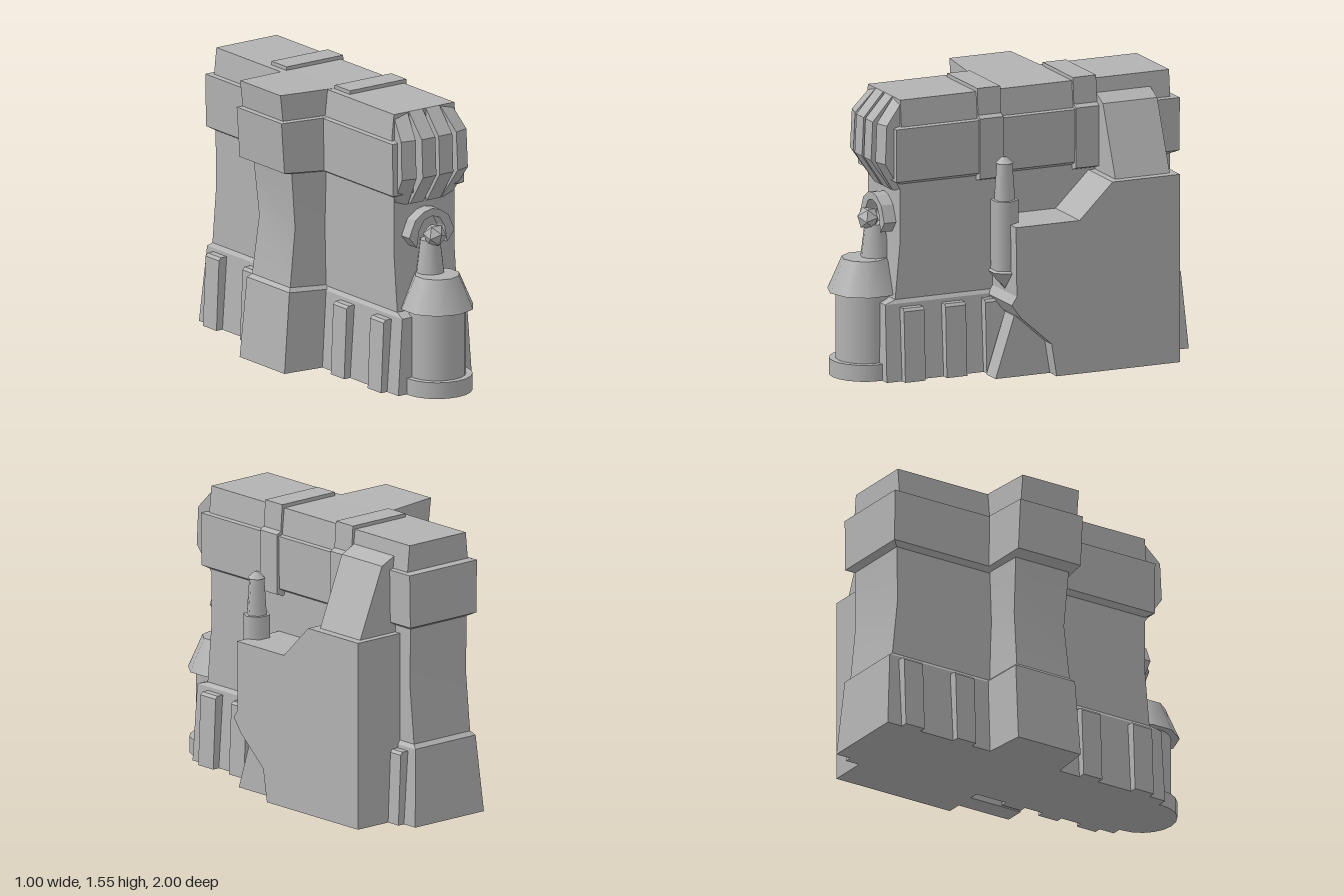
import * as THREE from 'three';
import { toCreasedNormals } from 'three/addons/utils/BufferGeometryUtils.js';

const stone = new THREE.MeshStandardMaterial({ color: 0xb2b2b2 });
stone.name = 'grey stone';

function add(parent, name, geometry, x = 0, y = 0, z = 0) {
  const mesh = new THREE.Mesh(geometry, stone);
  mesh.name = name;
  mesh.position.set(x, y, z);
  parent.add(mesh);
  return mesh;
}

// Stacked four-cornered rings [x, y, z], anticlockwise seen from below, joined and capped
function loft(rings, crease = 0.5) {
  const p = [];
  const quad = (a, b, c, d) => p.push(...a, ...b, ...c, ...a, ...c, ...d);
  for (let i = 0; i < rings.length - 1; i++) {
    const a = rings[i], b = rings[i + 1];
    for (let k = 0; k < 4; k++) {
      const n = (k + 1) % 4;
      quad(a[k], b[k], b[n], a[n]);
    }
  }
  const top = rings[rings.length - 1], bottom = rings[0];
  quad(top[3], top[2], top[1], top[0]);
  quad(bottom[0], bottom[1], bottom[2], bottom[3]);
  const g = new THREE.BufferGeometry();
  g.setAttribute('position', new THREE.Float32BufferAttribute(p, 3));
  return toCreasedNormals(g, crease);
}

function extrude(points, depth) {
  const shape = new THREE.Shape(points.map(([a, b]) => new THREE.Vector2(a, b)));
  return new THREE.ExtrudeGeometry(shape, { depth, bevelEnabled: false });
}
// Side profile given as [z, y], running from x1 down to x0
const sideExtrude = (points, x0, x1) => extrude(points, x1 - x0).rotateY(-Math.PI / 2).translate(x1, 0, 0);
// Front profile given as [x, y], running from z0 to z1
const frontExtrude = (points, z0, z1) => extrude(points, z1 - z0).translate(0, 0, z0);

export function createModel() {
  const model = new THREE.Group();
  model.name = 'fortress';

  // Main hall: flared plinth, waisted wall, overhanging cornice, roof block
  const hall = [
    [0, 0.245, -1, 0.78], [0.42, 0.215, -0.967, 0.775], [0.44, 0.2, -0.94, 0.71],
    [0.76, 0.2, -0.907, 0.68], [1.07, 0.2, -0.912, 0.68], [1.09, 0.235, -0.95, 0.72],
    [1.38, 0.24, -0.95, 0.72], [1.385, 0.215, -0.905, 0.68], [1.53, 0.2, -0.905, 0.68],
  ];
  add(model, 'mainHall', loft(hall.map(([y, w, z0, z1]) =>
    [[-w, y, z0], [-w, y, z1], [w, y, z1], [w, y, z0]].reverse())));

  // Side bay, narrowing away from the hall: height, outer x, extra width, rise at the outer edge
  const bay = [
    [0, -0.48, 0.02, 0], [0.42, -0.44, 0.01, 0.02], [0.44, -0.42, -0.01, 0.02], [0.78, -0.38, -0.02, 0],
    [1.07, -0.41, -0.01, 0.02], [1.08, -0.48, 0.02, 0.03], [1.38, -0.5, 0.02, 0.01],
    [1.385, -0.475, 0, 0.01], [1.53, -0.492, 0, 0.01],
  ];
  add(model, 'sideBay', loft(bay.map(([y, x, g, r]) => {
    const o = 0.18 + g, i = 0.215 + g, c = -0.12;
    return [[x, y + r, c - o], [x, y + r, c + o], [-0.12, y, c + i], [-0.12, y, c - i]].reverse();
  })));

  // Pilasters along the plinth
  const pilaster = (side, z) => add(model, 'pilaster', frontExtrude(
    [[0.19, 0], [0.285, 0], [0.268, 0.385], [0.255, 0.4], [0.19, 0.4]].map(([x, y]) => [x * side, y]),
    z - 0.06, z + 0.06));
  [-0.85, 0.15, 0.385, 0.63].forEach((z) => pilaster(1, z));
  [-0.85, -0.52, 0.29, 0.62].forEach((z) => pilaster(-1, z));

  // Straps folded over the roof and down one side
  const strap = [[-0.16, 1.5], [-0.16, 1.55], [0.215, 1.55], [0.225, 1.405], [0.252, 1.39],
    [0.252, 1.06], [0.21, 1.045], [0.18, 1.06], [0.18, 1.5]];
  for (const z of [0.165, -0.4]) add(model, 'roofStrap', frontExtrude(strap, z - 0.068, z + 0.068));

  // Four bent fins under the front gable, the outer pair turned outwards
  const fin = [[-0.08, 1.02], [0.01, 1.02], [0.125, 1.19], [0.115, 1.4], [0.0, 1.53], [-0.08, 1.53]];
  for (const side of [-1, 1]) {
    add(model, 'innerFin', sideExtrude(fin, -0.045, 0.045), side * 0.056, 0, 0.68);
    const outer = add(model, 'outerFin', sideExtrude(fin, -0.042, 0.042), side * 0.148, 0, 0.665);
    outer.rotation.y = side * 0.24;
  }

  // Statue on its round pedestal
  const statue = new THREE.Group();
  statue.name = 'statue';
  model.add(statue);
  const drum = (name, r1, r0, y0, y1, z, n = 10) =>
    add(statue, name, new THREE.CylinderGeometry(r1, r0, y1 - y0, n), 0, (y0 + y1) / 2, z);
  drum('pedestalFoot', 0.19, 0.19, 0, 0.09, 0.795, 20);
  drum('pedestal', 0.155, 0.155, 0.09, 0.47, 0.795, 20);
  drum('skirt', 0.122, 0.2, 0.46, 0.64, 0.797);
  drum('torso', 0.055, 0.078, 0.63, 0.82, 0.735);
  const head = add(statue, 'head', new THREE.IcosahedronGeometry(0.064, 0), 0, 0.85, 0.775);
  head.rotation.x = 0.3;
  const half = [[0.15, 0.85], [0.11, 0.94], [0.05, 0.98]], inner = [[0.05, 0.935], [0.085, 0.88], [0.1, 0.79]];
  const flip = (pts) => pts.map(([x, y]) => [-x, y]).reverse();
  add(statue, 'hood', frontExtrude(
    [...half, [0, 0.99], ...flip(half), ...flip(inner), [0, 0.95], ...inner], 0.67, 0.75));

  // Stepped side tower overhanging a slanted strut
  add(model, 'sideTower', sideExtrude([
    [-0.1, 0], [-0.07, 0.18], [0.11, 0.34], [0.165, 0.415], [0.135, 0.46], [0.14, 0.84],
    [-0.235, 0.84], [-0.43, 1.03], [-0.828, 1.03], [-0.828, 0],
  ], 0.19, 0.5));
  add(model, 'towerStrut', sideExtrude([[0.22, 0], [0.11, 0.335], [-0.09, 0.335], [-0.12, 0]], 0.3, 0.415));
  add(model, 'towerShoulder', frontExtrude(
    [[0.18, 1.0], [0.46, 1.0], [0.45, 1.03], [0.295, 1.41], [0.2, 1.455], [0.18, 1.455]], -0.79, -0.47));

  // Six-sided turret hanging at the tower's front edge
  const turret = new THREE.Group();
  turret.name = 'turret';
  turret.position.set(0.358, 0, 0.14);
  model.add(turret);
  const sections = [
    ['turretPoint', 0.09, 0, 0.475, 0.575], ['turretCollar', 0.075, 0.09, 0.575, 0.585],
    ['turretShaft', 0.075, 0.075, 0.585, 0.965], ['turretUpper', 0.042, 0.056, 0.965, 1.165],
    ['turretCap', 0.012, 0.05, 1.165, 1.2],
  ];
  for (const [name, r1, r0, y0, y1] of sections) {
    add(turret, name, new THREE.CylinderGeometry(r1, r0, y1 - y0, 6).rotateY(Math.PI / 6), 0, (y0 + y1) / 2, 0);
  }
  return model;
}
